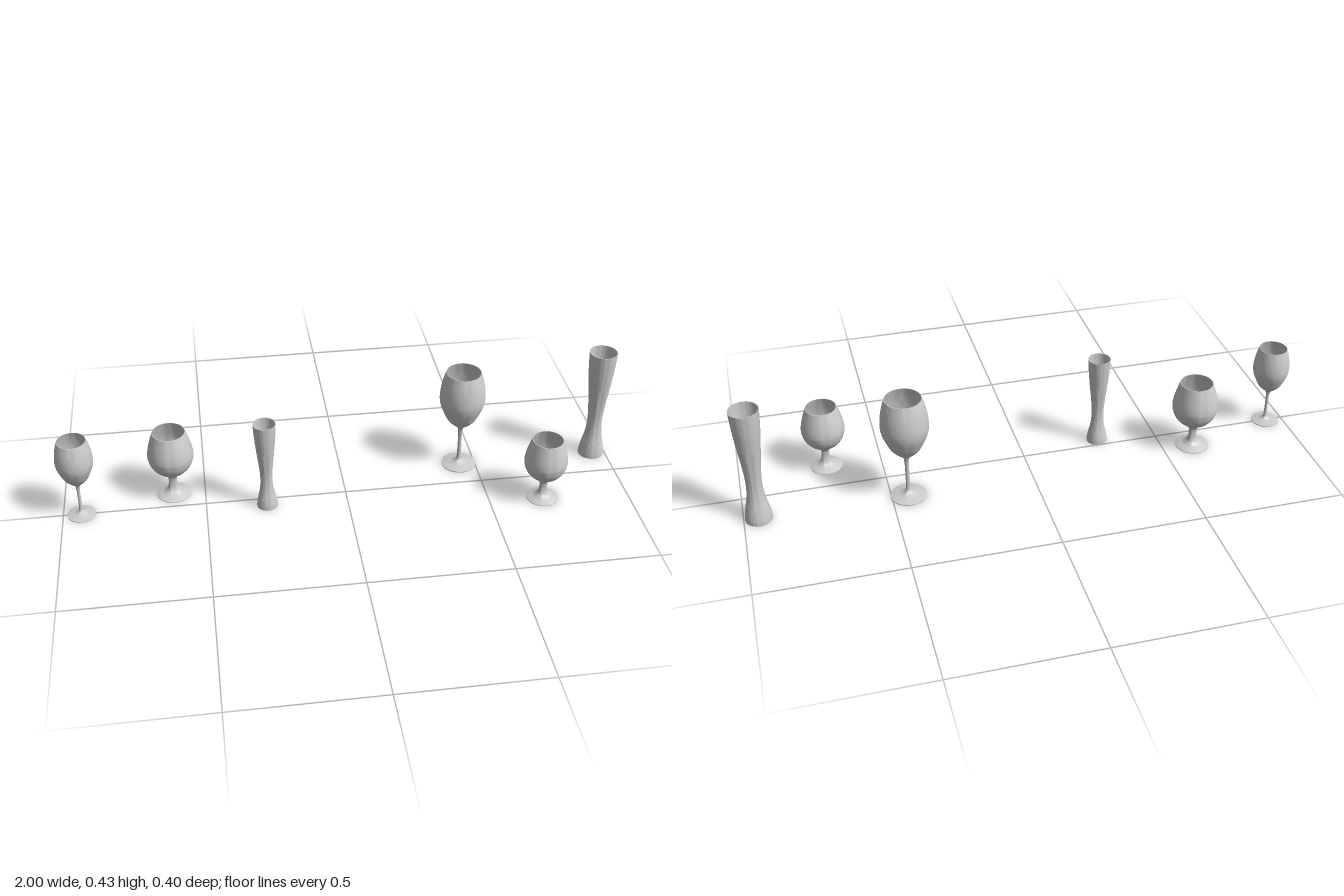
import * as THREE from 'three';
import { toCreasedNormals } from 'three/addons/utils/BufferGeometryUtils.js';

const glass = new THREE.MeshStandardMaterial({ color: 0xcccccc });
glass.name = 'pale grey glass';

// Smooth run of [radius, height] points
function smooth(points, steps) {
  const curve = new THREE.SplineCurve(points.map(([r, y]) => new THREE.Vector2(r, y)));
  return curve.getPoints(steps).map((p) => new THREE.Vector2(Math.max(p.x, 0), p.y));
}

// Closed vessel: flat underside, outer wall, rim, then the inside down to its floor
function vessel(outer, inner) {
  const profile = [new THREE.Vector2(0, 0), new THREE.Vector2(outer[0][0], 0),
    ...smooth(outer, 44), ...smooth(inner, 24)];
  return toCreasedNormals(new THREE.LatheGeometry(profile, 48), 0.7);
}

// Tall stemmed wine glass
const wineGlass = () => vessel(
  [[0.063, 0.003], [0.045, 0.007], [0.022, 0.013], [0.010, 0.024], [0.0075, 0.05], [0.007, 0.10],
    [0.008, 0.14], [0.013, 0.163], [0.030, 0.177], [0.051, 0.200], [0.066, 0.230], [0.077, 0.258],
    [0.082, 0.288], [0.079, 0.328], [0.072, 0.362], [0.063, 0.393]],
  [[0.061, 0.393], [0.070, 0.362], [0.077, 0.328], [0.080, 0.288], [0.075, 0.258],
    [0.064, 0.232], [0.049, 0.203], [0.028, 0.181], [0, 0.173]]);

// Short-stemmed balloon glass
const snifter = () => vessel(
  [[0.057, 0.002], [0.045, 0.007], [0.030, 0.013], [0.019, 0.024], [0.0145, 0.040], [0.0135, 0.055],
    [0.016, 0.072], [0.026, 0.084], [0.048, 0.099], [0.066, 0.121], [0.075, 0.148],
    [0.075, 0.170], [0.068, 0.203], [0.0545, 0.246]],
  [[0.0525, 0.246], [0.066, 0.203], [0.073, 0.170], [0.073, 0.148], [0.064, 0.123],
    [0.046, 0.103], [0.024, 0.091], [0, 0.087]]);

// Stemless waisted tall glass
const tallGlass = () => vessel(
  [[0.0465, 0.003], [0.045, 0.020], [0.040, 0.048], [0.032, 0.085], [0.0275, 0.125], [0.0275, 0.170],
    [0.032, 0.225], [0.038, 0.280], [0.0445, 0.345], [0.048, 0.395], [0.050, 0.434]],
  [[0.0475, 0.434], [0.0455, 0.395], [0.042, 0.345], [0.0355, 0.280], [0.0295, 0.225],
    [0.025, 0.170], [0.024, 0.125], [0.019, 0.106], [0, 0.100]]);

export function createModel() {
  const model = new THREE.Group();
  model.name = 'glassware';
  const shapes = { wine: wineGlass(), snifter: snifter(), tall: tallGlass() };

  // name, shape, x, z, scale
  const layout = [
    ['largeWineGlass', 'wine', 0.441, -0.12, 1],
    ['smallWineGlass', 'wine', -0.936, 0, 0.791],
    ['smallSnifter', 'snifter', 0.693, 0.126, 1],
    ['largeSnifter', 'snifter', -0.612, -0.081, 1.068],
    ['largeTallGlass', 'tall', 0.949, -0.12, 1],
    ['smallTallGlass', 'tall', -0.285, 0.036, 0.791],
  ];
  for (const [name, shape, x, z, scale] of layout) {
    const mesh = new THREE.Mesh(shapes[shape], glass);
    mesh.name = name;
    mesh.position.set(x, 0, z);
    mesh.scale.setScalar(scale);
    model.add(mesh);
  }
  return model;
}
